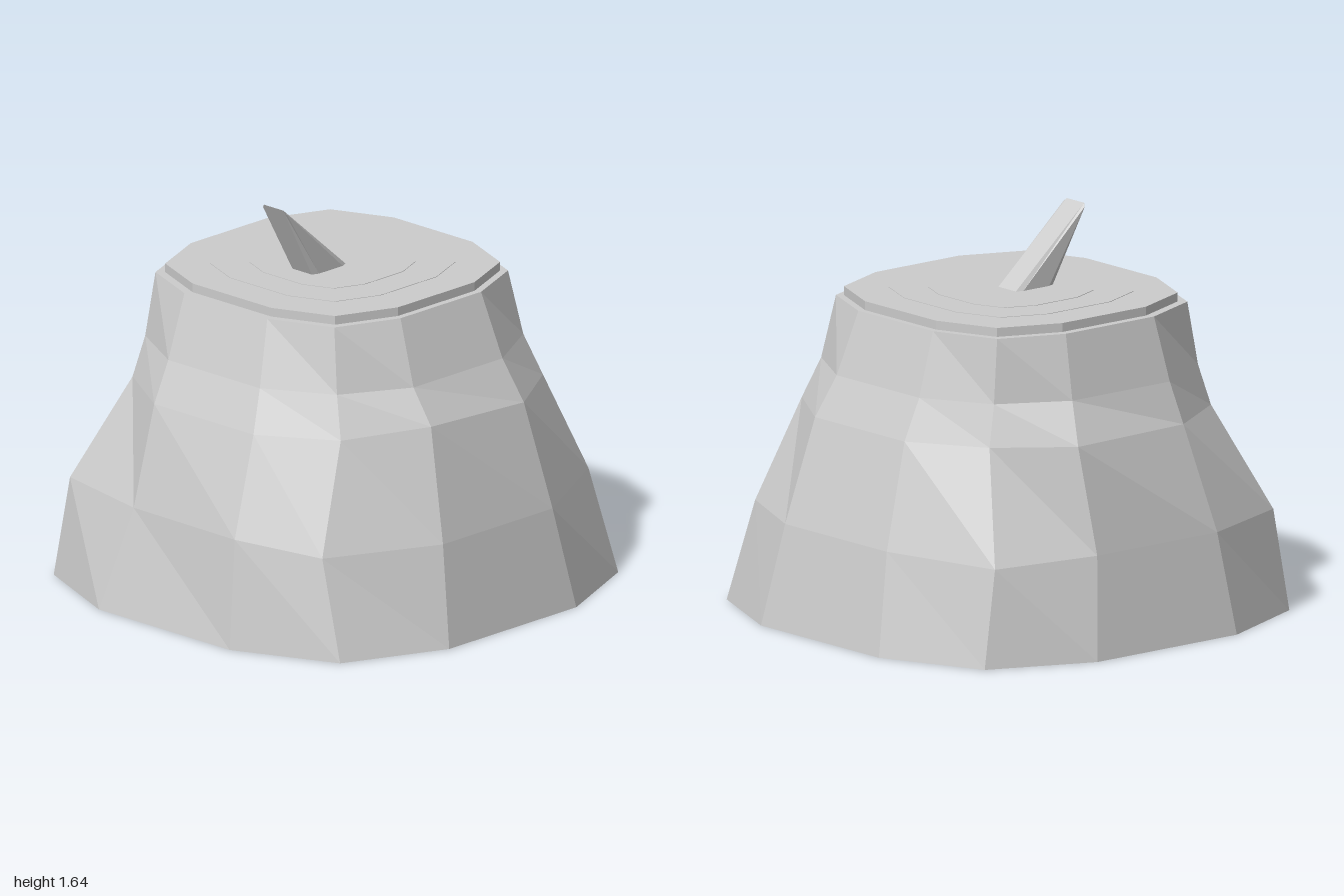
import * as THREE from 'three';

const material = new THREE.MeshStandardMaterial({ color: 0xcccccc, flatShading: true, side: THREE.DoubleSide });

// Closed solid through a stack of loops of [x, y, z], bottom to top
function loft(name, rings) {
  const pos = [];
  const n = rings[0].length;
  const tri = (a, b, c) => pos.push(...a, ...b, ...c);
  const middle = (ring) => [0, 1, 2].map((k) => ring.reduce((s, p) => s + p[k], 0) / n);
  const bottom = rings[0], top = rings[rings.length - 1];
  const low = middle(bottom), high = middle(top);
  for (let i = 0; i < n; i++) {
    const j = (i + 1) % n;
    for (let k = 0; k < rings.length - 1; k++) {
      const a = rings[k], b = rings[k + 1];
      tri(a[i], b[i], b[j]);
      tri(a[i], b[j], a[j]);
    }
    tri(low, bottom[i], bottom[j]);
    tri(high, top[j], top[i]);
  }
  const geometry = new THREE.BufferGeometry();
  geometry.setAttribute('position', new THREE.Float32BufferAttribute(pos, 3));
  geometry.computeVertexNormals();
  const mesh = new THREE.Mesh(geometry, material);
  mesh.name = name;
  return mesh;
}

// Twelve-sided loop: flat sides at distance s, diagonal corners at s * diag
function loop(y, s, cx, cz, diag = 0.81, side = 0.37) {
  const quarter = [[1, side], [diag, diag], [side, 1]];
  const points = [];
  for (let q = 0; q < 4; q++) {
    for (const [u, v] of quarter) {
      const [x, z] = [[u, v], [-v, u], [-u, -v], [v, -u]][q];
      points.push([cx + x * s, y, cz + z * s]);
    }
  }
  return points;
}

export function createModel() {
  const group = new THREE.Group();
  group.name = 'treeStump';

  // Trunk flaring to the ground, with a few uneven corners
  const flare = loop(0.42, 0.925, -0.01, 0, 0.82, 0.345);
  flare[1] = [0.76, 0.43, 0.69];
  flare[4] = [-0.78, 0.41, 0.68];
  flare[5] = [-0.94, 0.45, 0.34];
  flare[6] = [-0.89, 0.43, -0.28];
  flare[10] = [0.73, 0.4, -0.78];
  const waist = loop(0.85, 0.78, 0, 0.01, 0.755, 0.36);
  waist[3] = [-0.27, 0.88, 0.8];
  waist[9] = [0.33, 0.86, -0.83];
  group.add(loft('trunk', [
    loop(0, 1, 0, 0),
    flare,
    waist,
    loop(1.02, 0.7, 0, -0.01, 0.775, 0.37),
    loop(1.285, 0.617, 0.006, -0.03, 0.82, 0.38),
  ]));

  // Cut face with shallow growth rings
  [[0.586, 1.322, 'cutFace'], [0.43, 1.324, 'outerGrowthRing'], [0.29, 1.326, 'innerGrowthRing']]
    .forEach(([s, y, name]) => group.add(loft(name, [
      loop(1.28, s, 0.008, -0.027, 0.82, 0.38),
      loop(y, s, 0.008, -0.027, 0.82, 0.38),
    ])));

  // Leaning splinter: chamfered base narrowing to a thin edge
  const [x0, x1, zc, w] = [-0.165, 0.035, -0.028, 0.067];
  const half = [[x1, w - 0.012], [x1 - 0.03, w], [x0 + 0.03, w], [x0, w - 0.012]];
  const tipHalf = [[-0.334, 1.64, w - 0.012], [-0.325, 1.625, w], [-0.327, 1.625, w], [-0.336, 1.64, w - 0.012]];
  const mirrored = (points) => [
    ...points.map(([x, y, z]) => [x, y, zc + z]),
    ...points.slice().reverse().map(([x, y, z]) => [x, y, zc - z]),
  ];
  group.add(loft('splinter', [
    mirrored(half.map(([x, z]) => [x, 1.32, z])),
    mirrored(tipHalf),
  ]));

  return group;
}
